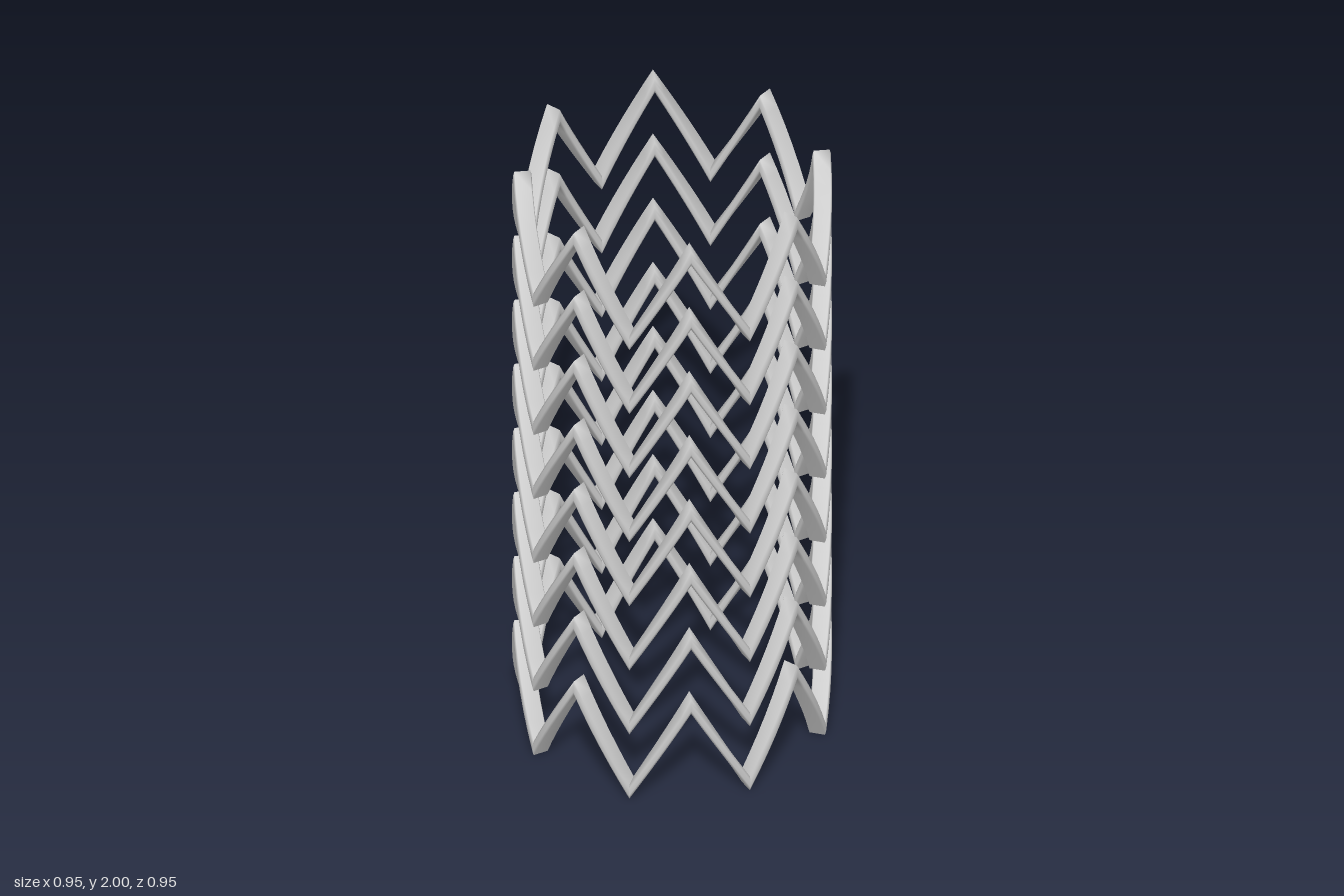
import * as THREE from 'three';

const RINGS = 8, PEAKS = 8;
const RADIUS = 0.4475, HALF_WIDTH = 0.0275, HALF_HEIGHT = 0.025;
const RING_HEIGHT = 0.368, PITCH = (2 - RING_HEIGHT) / (RINGS - 1);

// Bevelled strut section (radial, vertical), counter-clockwise
const SECTION = [
  [1, -0.5], [1, 0.5], [0.86, 1], [-0.86, 1],
  [-1, 0.5], [-1, -0.5], [-0.86, -1], [0.86, -1],
];

// One chevron, valley to peak to valley, wrapped round the cylinder
function chevronGeometry() {
  const steps = 12, n = SECTION.length;
  const rise = RING_HEIGHT - 2 * HALF_HEIGHT;
  const positions = [], index = [];
  for (let j = 0; j <= steps; j++) {
    const t = (j / steps) * 2 - 1;
    const angle = (t * Math.PI) / PEAKS;
    const y = HALF_HEIGHT + rise * (1 - Math.abs(t));
    for (const [u, v] of SECTION) {
      const r = RADIUS + u * HALF_WIDTH;
      positions.push(r * Math.sin(angle), y + v * HALF_HEIGHT, r * Math.cos(angle));
    }
  }
  for (let j = 0; j < steps; j++) {
    for (let i = 0; i < n; i++) {
      const k = (i + 1) % n;
      const a = j * n + i, b = a + n, c = (j + 1) * n + k, d = j * n + k;
      index.push(a, b, c, a, c, d);
    }
  }
  const geometry = new THREE.BufferGeometry();
  geometry.setAttribute('position', new THREE.Float32BufferAttribute(positions, 3));
  geometry.setIndex(index);
  geometry.computeVertexNormals();
  return geometry;
}

export function createModel() {
  const model = new THREE.Group();
  model.name = 'zigzagTubeMesh';
  const material = new THREE.MeshStandardMaterial({ color: 0xcccccc });
  const geometry = chevronGeometry();

  // Stacked zigzag rings, each made of identical chevrons
  for (let k = 0; k < RINGS; k++) {
    const ring = new THREE.Group();
    ring.name = `zigzagRing${k + 1}`;
    ring.position.y = k * PITCH;
    for (let p = 0; p < PEAKS; p++) {
      const chevron = new THREE.Mesh(geometry, material);
      chevron.name = `chevron${p + 1}`;
      chevron.rotation.y = (p / PEAKS) * Math.PI * 2;
      ring.add(chevron);
    }
    model.add(ring);
  }
  return model;
}
